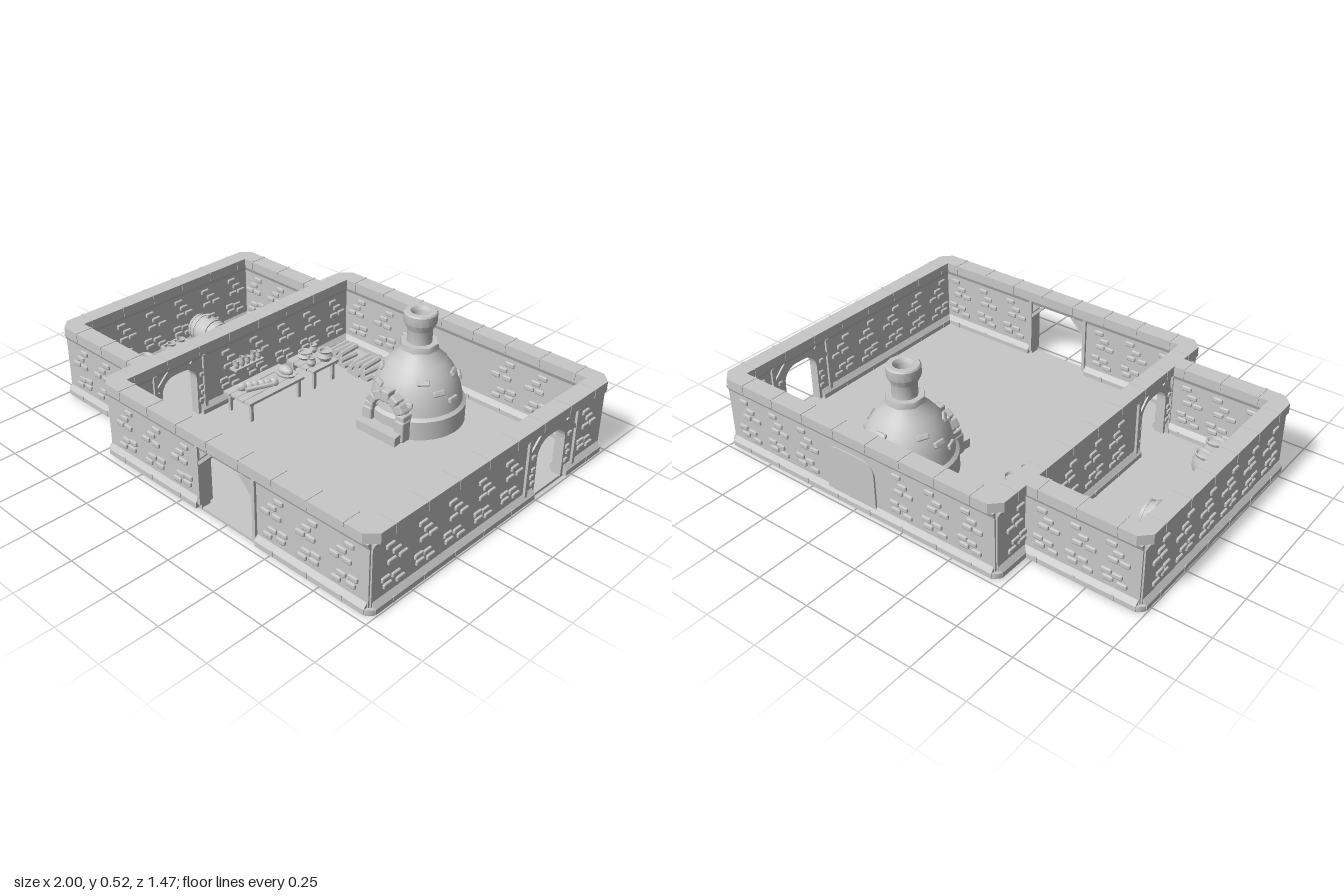
import * as THREE from 'three';
import { mergeGeometries, toCreasedNormals } from 'three/addons/utils/BufferGeometryUtils.js';
import { RoundedBoxGeometry } from 'three/addons/geometries/RoundedBoxGeometry.js';

const stone = new THREE.MeshStandardMaterial({ color: 0xc8c8c8, side: THREE.DoubleSide });
stone.name = 'pale grey';
const FLOOR = 0.012, WALL_TOP = 0.31, TOP = 0.355, STEP = 0.1735;

function add(parent, name, geo, x = 0, y = 0, z = 0, rx = 0, ry = 0, rz = 0) {
  const m = new THREE.Mesh(geo, stone);
  m.name = name;
  m.position.set(x, y, z);
  m.rotation.set(rx, ry, rz);
  parent.add(m);
  return m;
}
function group(parent, name, x = 0, y = 0, z = 0, ry = 0) {
  const g = new THREE.Group();
  g.name = name;
  g.position.set(x, y, z);
  g.rotation.y = ry;
  parent.add(g);
  return g;
}
const box = (w, h, d) => new THREE.BoxGeometry(w, h, d);
const cyl = (r1, r2, h, n = 12) => toCreasedNormals(new THREE.CylinderGeometry(r1, r2, h, n), 0.8);
const v2 = (pts) => pts.map(([x, y]) => new THREE.Vector2(x, y));
const lathe = (pts, n = 24) => toCreasedNormals(new THREE.LatheGeometry(v2(pts), n), 0.6);
const extrude = (shape, depth) => new THREE.ExtrudeGeometry(shape, { depth, bevelEnabled: false });

// Outline of a doorway from its left foot to its right foot; n = 1 chamfers the top corners
function doorway(a, b, top, r, n, foot = 0) {
  const pts = [[a, foot]];
  for (let i = 0; i <= n; i++) {
    const t = (i / n) * Math.PI / 2;
    pts.push([a + r - r * Math.cos(t), top - r + r * Math.sin(t)]);
  }
  for (let i = n; i >= 0; i--) {
    const t = (i / n) * Math.PI / 2;
    pts.push([b - r + r * Math.cos(t), top - r + r * Math.sin(t)]);
  }
  pts.push([b, foot]);
  return pts;
}

// Moulding with a (z, y) profile that runs along x from a to b
function moulding(a, b, profile) {
  const g = extrude(new THREE.Shape(v2(profile.map(([z, y]) => [-z, y]))), b - a);
  return g.rotateY(Math.PI / 2).translate(a, 0, 0);
}

const CLUSTER = [[0.025, 0.258], [-0.01, 0.222], [-0.045, 0.187], [0.015, 0.187],
  [0.045, 0.125], [-0.01, 0.118], [0.035, 0.093], [-0.035, 0.085]];
const BASE = [[-0.04, 0.01], [0.04, 0.01], [0.04, 0.033], [0.023, 0.055], [-0.023, 0.055], [-0.04, 0.033]];
const CORNICE = [[-0.022, 0.285], [0.022, 0.285], [0.034, 0.312], [-0.034, 0.312]];

// Wall along local x from a to b, with an optional opening and bricks on both faces
function wall(parent, name, a, b, x, z, sideways, open, keepOut) {
  const g = group(parent, name, x, 0, z, sideways ? -Math.PI / 2 : 0);
  const outline = [[a, 0.005], ...(open ? doorway(open.a, open.b, open.top, open.r, open.n, 0.005) : []),
    [b, 0.005], [b, WALL_TOP], [a, WALL_TOP]];
  add(g, 'wallPanel', extrude(new THREE.Shape(v2(outline)), 0.044), 0, 0, -0.022);
  const runs = open ? [[a - 0.01, open.a], [open.b, b + 0.01]] : [[a - 0.01, b + 0.01]];
  for (const [s, e] of runs) add(g, 'baseMoulding', moulding(s + 0.015, e - 0.015, BASE));
  add(g, 'cornice', moulding(a, b, CORNICE));

  // Joint ridges in the coping and the base
  for (let u = -0.61 + (sideways ? 0 : 0.086); u < b; u += STEP) joint(u);
  for (let u = -0.61 - STEP + (sideways ? 0 : 0.086); u > a; u -= STEP) joint(u);
  function joint(u) {
    if (u < a + 0.02 || u > b - 0.02) return;
    add(g, 'copingJoint', box(0.012, 0.044, 0.084), u, 0.335, 0);
    if (!open || u < open.a - 0.02 || u > open.b + 0.02) add(g, 'baseJoint', box(0.012, 0.025, 0.084), u, 0.024, 0);
  }

  // Scattered raised bricks
  const bricks = [], count = Math.round((b - a - 0.06) / 0.18), gap = (b - a - 0.06) / count;
  const clear = keepOut || (open && [open.a - 0.1, open.b + 0.1]);
  for (let i = 0; i < count; i++) for (const [du, y] of CLUSTER) {
    const u = a + 0.03 + (i + 0.5) * gap + du * (i % 2 ? 1 : 0.85);
    if (clear && u > clear[0] && u < clear[1]) continue;
    bricks.push(new RoundedBoxGeometry(0.046, 0.023, 0.062, 1, 0.006).translate(u, y, 0));
  }
  if (bricks.length) add(g, 'raisedBricks', mergeGeometries(bricks));

  // Timber posts and corner braces around an opening
  if (open) for (const s of [-1, 1]) {
    const edge = s < 0 ? open.a : open.b, post = edge + s * open.post;
    add(g, 'doorPost', box(0.016, 0.27, 0.066), post, 0.165, 0);
    add(g, 'doorBrace', box(0.1, 0.014, 0.06), post - s * 0.038, 0.255, 0, 0, 0, -s * 0.78);
    if (open.post > 0.03) for (const [d, y] of [[0.028, 0.205], [0.022, 0.145], [0.03, 0.115], [0.02, 0.08]])
      add(g, 'doorBrick', new RoundedBoxGeometry(0.026, 0.022, 0.06, 1, 0.006), edge + s * d, y, 0);
  }
  return g;
}

const chamfered = (x0, x1, z0, z1, c, cr = c) => v2([[x0 + c, z0], [x1 - cr, z0], [x1, z0 + cr], [x1, z1 - cr],
  [x1 - cr, z1], [x0 + c, z1], [x0, z1 - c], [x0, z0 + c]]);

// Chamfered coping ring on top of a room, with matching base corners
function coping(parent, name, x0, x1, z0, z1, inner, c, cr) {
  const s = new THREE.Shape(chamfered(x0, x1, -z1, -z0, c, cr));
  s.holes.push(new THREE.Path(v2([[x0 + 0.08, -z1 + 0.08], [inner, -z1 + 0.08], [inner, -z0 - 0.08], [x0 + 0.08, -z0 - 0.08]])));
  add(parent, name, extrude(s, TOP - WALL_TOP).rotateX(-Math.PI / 2), 0, WALL_TOP, 0);
  const xs = cr ? [x0 + 0.04, x1 - 0.04] : [x0 + 0.04];
  for (const x of xs) for (const z of [z0 + 0.04, z1 - 0.04])
    add(parent, 'baseCorner', cyl(0.04, 0.04, 0.024, 8), x, 0.022, z, 0, Math.PI / 8);
}

function oven(parent) {
  const g = group(parent, 'oven', 0.26, 0, -0.4);
  add(g, 'ovenDome', lathe([[0.215, 0.01], [0.215, 0.1], [0.2, 0.112], [0.194, 0.15], [0.18, 0.205], [0.155, 0.255],
    [0.12, 0.3], [0.085, 0.335], [0.07, 0.362]], 36));
  add(g, 'chimneyCollar', cyl(0.084, 0.088, 0.026, 8), 0, 0.367, 0, 0, Math.PI / 8);
  add(g, 'chimney', lathe([[0.055, 0.375], [0.055, 0.44], [0.073, 0.475], [0.073, 0.515], [0.068, 0.522], [0.045, 0.522],
    [0.035, 0.505], [0.035, 0.4], [0, 0.4]], 16));
  // Bricks showing through the plaster
  for (let i = 0; i < 15; i++) {
    const t = 0.45 + i * 0.385, [r, y, tilt] = [[0.188, 0.165, -0.2], [0.152, 0.255, -0.65], [0.176, 0.21, -0.4]][i % 3];
    const h = group(g, 'domeBrick', 0, 0, 0, t);
    add(h, 'brick', new RoundedBoxGeometry(0.055, 0.026, 0.024, 1, 0.006), 0, y, r, tilt);
  }
  // Hooded mouth with arch stones and a hearth shelf
  const s = new THREE.Shape(v2(doorway(-0.1, 0.1, 0.2, 0.08, 6, 0.01)));
  s.holes.push(new THREE.Path(v2(doorway(-0.065, 0.065, 0.15, 0.05, 6, 0.055))));
  add(g, 'ovenMouth', toCreasedNormals(extrude(s, 0.15), 0.6), 0, 0, 0.045);
  add(g, 'fireboxBack', box(0.16, 0.15, 0.01), 0, 0.1, 0.1);
  for (let i = 0; i < 7; i++) {
    const t = -1.5 + i * 0.5;
    add(g, 'archStone', new RoundedBoxGeometry(0.044, i === 3 ? 0.055 : 0.045, 0.07, 1, 0.007),
      0.088 * Math.sin(t), 0.105 + 0.088 * Math.cos(t), 0.185, 0, 0, -t);
  }
  for (const x of [-0.09, 0.09]) add(g, 'mouthPier', new RoundedBoxGeometry(0.05, 0.1, 0.075, 1, 0.008), x, 0.06, 0.19);
  const shelf = new THREE.Shape(v2([[-0.09, -0.12], [0.09, -0.12], [0.11, -0.27], [-0.11, -0.27]]));
  add(g, 'hearthShelf', extrude(shelf, 0.045).rotateX(-Math.PI / 2), 0, 0.01, 0);
}

function logPile(parent, x, z, width, length) {
  const g = group(parent, 'logPile', x, FLOOR, z);
  const n = Math.round(width / 0.028);
  for (let row = 0; row < 3; row++) for (let i = 0; i < n - row; i++) {
    const k = (i * 7 + row * 3) % 5;
    add(g, 'log', cyl(0.014, 0.014, length - k * 0.005, 7), (i - (n - row - 1) / 2) * 0.028, 0.014 + row * 0.025,
      (k - 2) * 0.004, Math.PI / 2, 0, (k - 2) * 0.03);
  }
}

function table(parent, x, z, w, d) {
  const g = group(parent, 'table', x, FLOOR, z), n = 4;
  for (let i = 0; i < n; i++) add(g, 'tablePlank', box(w / n - 0.002, 0.012, d - (i % 2) * 0.006), (i - (n - 1) / 2) * w / n, 0.094, 0);
  for (const s of [-1, 1]) {
    add(g, 'tableRail', box(w * 0.9, 0.012, 0.012), 0, 0.084, s * (d / 2 - 0.025));
    for (const q of [-1, 1]) add(g, 'tableLeg', box(0.014, 0.09, 0.014), q * (w / 2 - 0.018), 0.045, s * (d / 2 - 0.025));
  }
  return g;
}
const pot = (g, r, h, x, y, z) => add(g, 'pot', lathe([[0, 0], [r * 0.7, 0], [r, h * 0.4], [r * 0.75, h * 0.8], [r * 0.9, h],
  [r * 0.7, h], [r * 0.6, h * 0.75], [0, h * 0.7]], 14), x, y, z);

function loaf(g, x, y, z, ry, sx, sz) {
  add(g, 'loaf', new THREE.SphereGeometry(1, 14, 10), x, y, z, 0, ry).scale.set(sx, 0.022, sz);
}

export function createModel() {
  const model = new THREE.Group();
  model.name = 'roofless bakery';

  // Floors
  const floors = [chamfered(-0.46, 0.98, -0.71, 0.72, 0.03), chamfered(-0.98, -0.44, -0.54, 0.545, 0.03)];
  for (const f of floors) add(model, 'floor', extrude(new THREE.Shape(f), FLOOR).rotateX(-Math.PI / 2));

  // Main room
  wall(model, 'frontWall', -0.455, 0.975, 0, 0.69, false, { a: 0.11, b: 0.41, top: 0.29, r: 0.05, n: 1, post: 0.006 }, [0.07, 0.45]);
  const back = wall(model, 'backWall', -0.455, 0.975, 0, -0.7, false, null, [0.1, 0.46]);
  wall(model, 'eastWall', -0.715, 0.705, 0.96, 0, true, { a: -0.445, b: -0.255, top: 0.26, r: 0.07, n: 6, post: 0.068 });
  wall(model, 'partitionWall', -0.715, 0.705, -0.44, 0, true, { a: 0.27, b: 0.46, top: 0.26, r: 0.07, n: 6, post: 0.04 });
  coping(model, 'mainCoping', -0.48, 1, -0.74, 0.73, 0.92, 0.045, 0.045);
  const panel = new THREE.Shape(v2(doorway(0.14, 0.4, 0.26, 0.06, 6, 0.035)));
  add(back, 'blockedArch', extrude(panel, 0.009), 0, 0, -0.03);

  // Side room
  wall(model, 'sideRoomFront', -0.975, -0.455, 0, 0.52, false);
  wall(model, 'sideRoomBack', -0.975, -0.455, 0, -0.525, false);
  wall(model, 'westWall', -0.54, 0.535, -0.96, 0, true);
  coping(model, 'sideRoomCoping', -1, -0.47, -0.565, 0.56, -0.48, 0.045, 0);

  oven(model);
  logPile(model, -0.295, -0.525, 0.145, 0.12);
  logPile(model, -0.135, -0.505, 0.145, 0.12);
  logPile(model, -0.65, -0.365, 0.3, 0.125);

  // Pot table and baking table
  const t1 = table(model, -0.28, -0.305, 0.17, 0.17);
  pot(t1, 0.036, 0.05, 0.04, 0.1, -0.04);
  pot(t1, 0.036, 0.035, -0.035, 0.1, 0.015);
  pot(t1, 0.022, 0.045, 0.035, 0.1, 0.045);
  pot(t1, 0.02, 0.04, -0.05, 0.1, -0.055);
  const t2 = table(model, -0.28, 0, 0.17, 0.34);
  add(t2, 'breadBoard', cyl(0.055, 0.05, 0.01, 16), 0.005, 0.105, -0.125).scale.z = 0.75;
  loaf(t2, 0.005, 0.12, -0.125, 0, 0.042, 0.026);
  for (let i = 0; i < 6; i++) loaf(t2, 0.035 - i * 0.013, 0.114, -0.02 + i * 0.025, 0.5 + (i % 2) * 0.5, 0.024, 0.016);
  add(t2, 'rollingPin', cyl(0.011, 0.011, 0.13, 10), 0.02, 0.112, 0.05, Math.PI / 2, 0, 0.35);

  // Wall shelf with jars
  const shelf = group(model, 'wallShelf', -0.392, 0.17, 0);
  add(shelf, 'shelfBoard', box(0.045, 0.01, 0.17));
  for (let i = -2; i <= 2; i++) pot(shelf, 0.014, 0.035 + (i & 1) * 0.01, 0.003, 0.005, i * 0.033);

  // Barrel lying on a cradle
  const barrel = group(model, 'barrel', -0.84, 0.105, -0.165);
  add(barrel, 'barrelBody', lathe([[0, -0.08], [0.058, -0.08], [0.07, -0.04], [0.075, 0], [0.07, 0.04], [0.058, 0.08], [0, 0.08]], 16),
    0, 0, 0, 0, 0, Math.PI / 2);
  for (const s of [-1, 1]) {
    add(barrel, 'barrelHoop', cyl(0.074, 0.074, 0.014, 16), s * 0.038, 0, 0, 0, 0, Math.PI / 2);
    add(barrel, 'barrelHoop', cyl(0.064, 0.064, 0.012, 16), s * 0.073, 0, 0, 0, 0, Math.PI / 2);
    add(barrel, 'barrelCradle', box(0.02, 0.055, 0.12), s * 0.05, -0.066, 0);
  }
  add(barrel, 'bung', cyl(0.012, 0.012, 0.02, 8), 0, 0.08, 0);

  // Crate of jars
  const crate = group(model, 'crate', -0.845, FLOOR, 0.01, 0.06);
  add(crate, 'crateBottom', box(0.13, 0.05, 0.12), 0, 0.025, 0);
  for (const s of [-1, 1]) {
    add(crate, 'crateSide', box(0.01, 0.08, 0.13), s * 0.064, 0.04, 0);
    add(crate, 'crateEnd', box(0.13, 0.08, 0.01), 0, 0.04, s * 0.06);
    for (const q of [-1, 1]) pot(crate, 0.025, 0.05, s * 0.031, 0.045, q * 0.029);
  }

  // Open flour sacks
  [[-0.855, 0.205], [-0.855, 0.32], [-0.74, 0.32], [-0.855, 0.415], [-0.735, 0.43]].forEach(([x, z], i) => {
    const sack = add(model, 'sack', lathe([[0, 0], [0.045, 0], [0.054, 0.02], [0.052, 0.055], [0.04, 0.08], [0.046, 0.095],
      [0.038, 0.097], [0.03, 0.085], [0, 0.09]], 16), x, FLOOR, z, 0, [-0.35, 0.2, -0.3, -0.15, 0.25][i]);
    sack.scale.z = 0.75;
  });
  return model;
}
